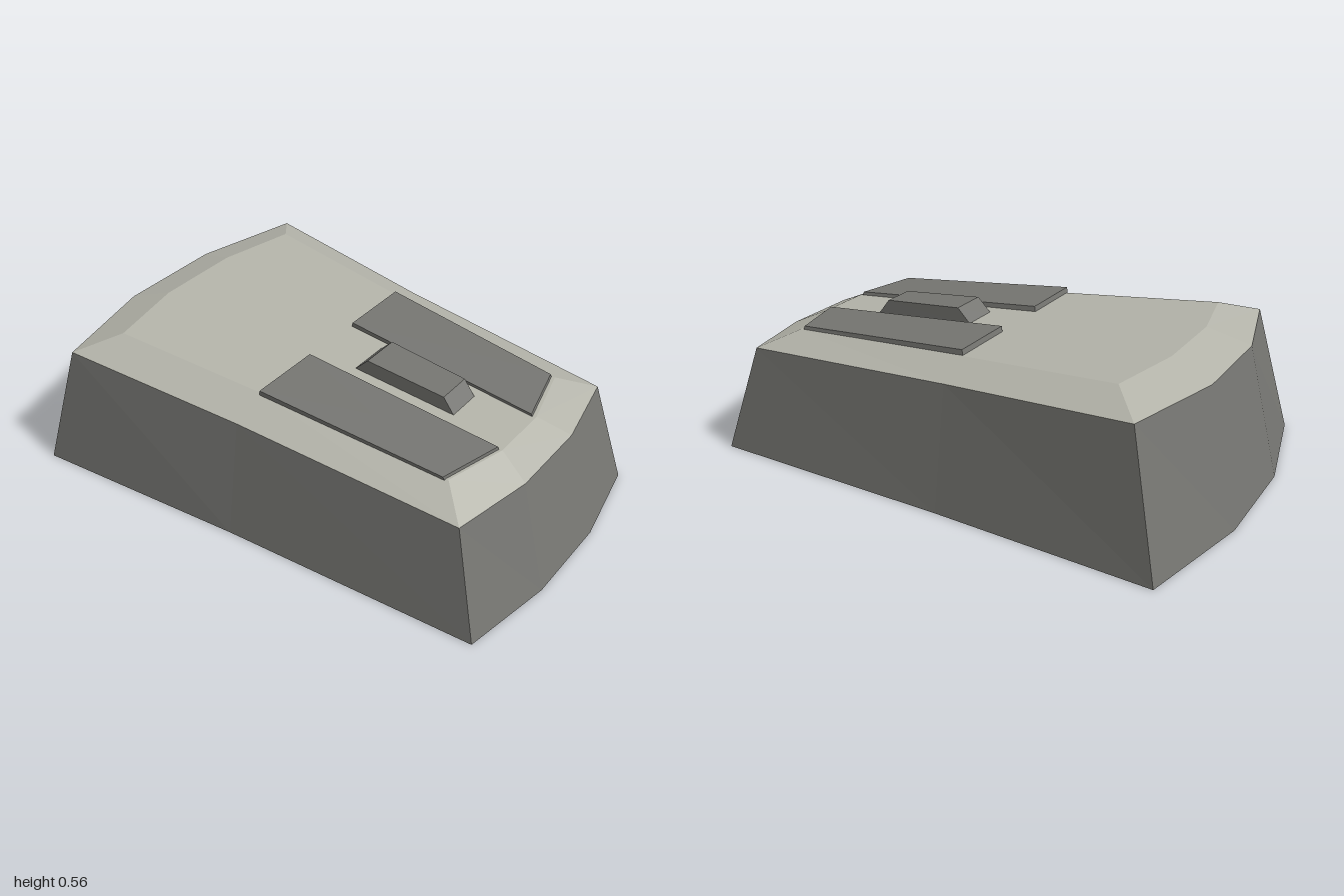
import * as THREE from 'three';

// Joins rings of [x, y, z] points (same count, bottom to top), with optional end caps.
function loft(rings, capBottom, capTop) {
  const pos = [];
  const tri = (a, b, c) => pos.push(...a, ...b, ...c);
  const n = rings[0].length;
  for (let r = 0; r < rings.length - 1; r++) {
    for (let i = 0; i < n; i++) {
      const j = (i + 1) % n;
      const lo = rings[r], hi = rings[r + 1];
      tri(lo[i], hi[i], hi[j]);
      tri(lo[i], hi[j], lo[j]);
    }
  }
  const cap = (ring, up) => {
    const c = [0, 1, 2].map(k => ring.reduce((s, p) => s + p[k], 0) / n);
    for (let i = 0; i < n; i++) {
      const j = (i + 1) % n;
      if (up) tri(c, ring[j], ring[i]);
      else tri(c, ring[i], ring[j]);
    }
  };
  if (capBottom) cap(rings[0], false);
  if (capTop) cap(rings[rings.length - 1], true);
  const g = new THREE.BufferGeometry();
  g.setAttribute('position', new THREE.Float32BufferAttribute(pos, 3));
  g.computeVertexNormals();
  return g;
}

// Mirrors a half outline of [x, y, z] (z > 0 values, listed tail to nose) across z.
const mirrorRing = half => [
  ...half.map(([x, y, z]) => [x, y, -z]),
  ...half.slice().reverse(),
];

// Height of the sloping top panel
const deckY = x => 0.553 - 0.063 * (x + 0.66);

export function createModel() {
  const model = new THREE.Group();
  const darkGrey = new THREE.MeshStandardMaterial({ color: 0x757571 });
  const lightGrey = new THREE.MeshStandardMaterial({ color: 0xb3b3a9 });
  darkGrey.name = 'darkGrey';
  lightGrey.name = 'lightGrey';

  const add = (name, geometry, material) => {
    const mesh = new THREE.Mesh(geometry, material);
    mesh.name = name;
    model.add(mesh);
  };

  // Body outlines: foot, rim and top panel
  const foot = mirrorRing([
    [-1, 0, 0.23], [-0.9, 0, 0.707], [-0.05, 0, 0.615], [0.937, 0, 0.535], [1, 0, 0.18],
  ]);
  const rim = mirrorRing([
    [-0.88, 0.5, 0.21], [-0.78, 0.5, 0.625], [-0.05, 0.457, 0.54], [0.82, 0.41, 0.473], [0.88, 0.41, 0.16],
  ]);
  const deck = mirrorRing([
    [-0.72, 0.17], [-0.66, 0.473], [-0.05, 0.41], [0.7, 0.355], [0.76, 0.115],
  ].map(([x, z]) => [x, deckY(x), z]));

  add('lowerBody', loft([foot, rim], true, false), darkGrey);
  add('topShell', loft([rim, deck], false, true), lightGrey);

  // Two click buttons lying just proud of the top panel
  const buttonOutline = [[-0.05, 0.13], [0.75, 0.112], [0.69, 0.357], [-0.05, 0.412]];
  for (const side of [-1, 1]) {
    const ring = (lift, inset) => {
      const pts = buttonOutline.map(([x, z]) => [
        x + (x < 0 ? inset : -inset * 0.5),
        deckY(x) + lift * (x < 0 ? 1.2 : 0.8),
        side * z + 0.005 + (lift > 0 ? 0.006 : 0),
      ]);
      return side > 0 ? pts : pts.reverse();
    };
    add(side > 0 ? 'leftButton' : 'rightButton',
      loft([ring(-0.01, 0), ring(0.016, 0.008)], true, true), darkGrey);
  }

  // Scroll wheel block with sloping ends
  const block = (x0, y0, z0, x1, y1, z1) => [
    [x0, y0, -z0], [x1, y1, -z1], [x1, y1, z1], [x0, y0, z0],
  ];
  add('scrollWheel', loft([
    block(0.11, 0.495, 0.078, 0.54, 0.47, 0.068),
    block(0.17, 0.557, 0.076, 0.49, 0.535, 0.068),
  ], true, true), darkGrey);

  return model;
}
